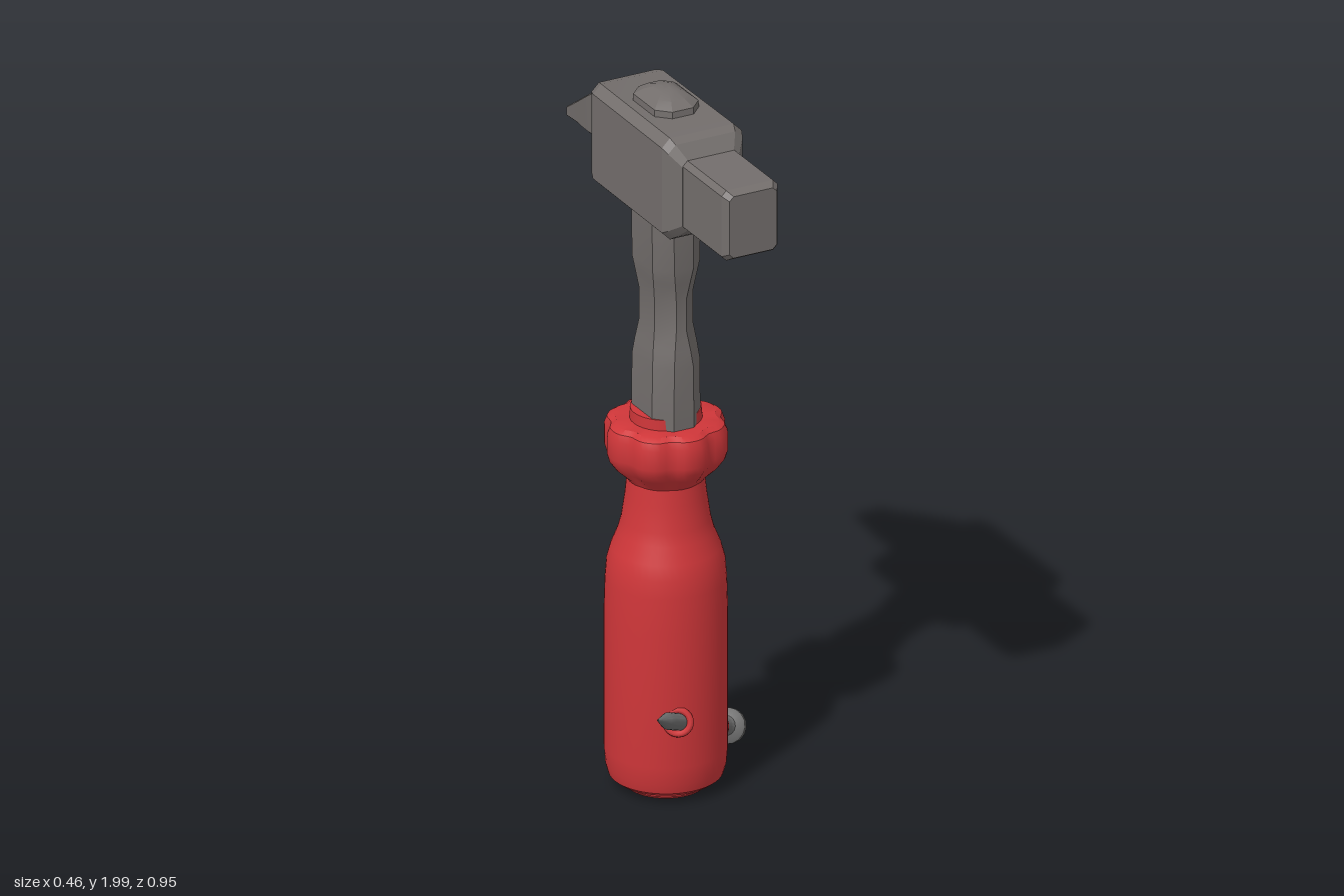
import * as THREE from 'three';
import { toCreasedNormals } from 'three/addons/utils/BufferGeometryUtils.js';

const CX = -0.053; // the tool's long axis

// Rectangle with cut corners, counterclockwise
function cutRect(hw, hh, c, cy = 0) {
  return [[hw, c - hh], [hw, hh - c], [hw - c, hh], [c - hw, hh],
    [-hw, hh - c], [-hw, c - hh], [c - hw, -hh], [hw - c, -hh]].map(([x, y]) => [x, y + cy]);
}

// Flat-faced solid through sections [position, ring] along +z, capped at both ends
function loft(sections) {
  const n = sections[0][1].length, last = (sections.length - 1) * n;
  const pos = [], idx = [];
  for (const [z, ring] of sections) for (const [x, y] of ring) pos.push(x, y, z);
  for (let i = 0; i < sections.length - 1; i++) {
    for (let j = 0; j < n; j++) {
      const a = i * n + j, b = i * n + (j + 1) % n;
      idx.push(a, b, b + n, a, b + n, a + n);
    }
  }
  for (let j = 1; j < n - 1; j++) {
    idx.push(0, j + 1, j, last, last + j, last + j + 1);
  }
  const g = new THREE.BufferGeometry();
  g.setAttribute('position', new THREE.Float32BufferAttribute(pos, 3));
  g.setIndex(idx);
  return toCreasedNormals(g, 0.3);
}

function lathe(points, segments) {
  return new THREE.LatheGeometry(points.map(([r, y]) => new THREE.Vector2(r, y)), segments);
}

export function createModel() {
  const group = new THREE.Group();
  const steel = new THREE.MeshStandardMaterial({ name: 'steel', color: 0x736e6c });
  const nailSteel = new THREE.MeshStandardMaterial({ name: 'nail steel', color: 0x707070 });
  const red = new THREE.MeshStandardMaterial({ name: 'red grip', color: 0xcf3639 });

  const add = (name, geometry, material, x = CX) => {
    const mesh = new THREE.Mesh(geometry, material);
    mesh.name = name;
    mesh.position.x = x;
    group.add(mesh);
    return mesh;
  };

  // Hammer head: main block, square striking face, wedge-shaped peen
  const HY = 1.805;
  add('headBlock', loft([
    [-0.222, cutRect(0.095, 0.122, 0.02, HY)],
    [-0.212, cutRect(0.105, 0.137, 0.022, HY)],
    [-0.185, cutRect(0.115, 0.145, 0.024, HY)],
    [0.195, cutRect(0.118, 0.145, 0.024, HY)],
    [0.215, cutRect(0.11, 0.132, 0.022, HY)],
    [0.245, cutRect(0.084, 0.1, 0.016, HY - 0.005)],
  ]), steel);
  add('strikingFace', loft([
    [0.2, cutRect(0.083, 0.1, 0.014, HY - 0.005)],
    [0.455, cutRect(0.083, 0.1, 0.014, HY - 0.005)],
    [0.475, cutRect(0.07, 0.088, 0.012, HY - 0.005)],
  ]), steel);
  add('peen', loft([[-0.475, 0.036], [-0.4, 0.046], [-0.35, 0.057], [-0.3, 0.066], [-0.2, 0.073]]
    .map(([z, hw]) => {
      const t = (z + 0.475) / 0.255;
      const top = 1.757 + 0.163 * t, bottom = 1.728 + 0.042 * t;
      return [z, cutRect(hw, (top - bottom) / 2, 0.004, (top + bottom) / 2)];
    })), steel);

  // Shaft end bulging out of the top of the head
  add('shaftCap', loft([
    [1.93, cutRect(0.067, 0.095, 0.035)],
    [1.968, cutRect(0.065, 0.092, 0.034)],
    [1.985, cutRect(0.045, 0.066, 0.025)],
    [1.995, cutRect(0.025, 0.036, 0.014)],
    [2.0, cutRect(0.008, 0.012, 0.004)],
  ]).rotateX(-Math.PI / 2), steel);

  // Eight-sided waisted shaft
  add('shaft', loft([[1.05, 0.072, 0.098], [1.23, 0.07, 0.098], [1.275, 0.065, 0.092],
    [1.33, 0.057, 0.084], [1.42, 0.057, 0.084], [1.47, 0.064, 0.092],
    [1.51, 0.07, 0.098], [1.7, 0.072, 0.098]]
    .map(([y, hw, hd]) => [y, cutRect(hw, hd, 0.042)])).rotateX(-Math.PI / 2), steel);

  // Turned grip
  const grip = lathe([[0, 0.008], [0.105, 0.008], [0.11, 0.015], [0.11, 0.03], [0.135, 0.03],
    [0.15, 0.042], [0.158, 0.07], [0.162, 0.12], [0.162, 0.5], [0.159, 0.6], [0.155, 0.65],
    [0.144, 0.69], [0.126, 0.735], [0.117, 0.77], [0.107, 0.84], [0.1, 0.91]], 48);
  add('grip', toCreasedNormals(grip, 0.6), red);

  // Lobed knob above the grip, with its collar
  const knob = lathe([[0.098, 0.88], [0.108, 0.895], [0.14, 0.925], [0.158, 0.95], [0.164, 0.97],
    [0.164, 1.025], [0.156, 1.045], [0.14, 1.055], [0.09, 1.055]], 64);
  const p = knob.attributes.position;
  for (let i = 0; i < p.count; i++) {
    const x = p.getX(i), z = p.getZ(i), r = Math.hypot(x, z);
    const lobes = 0.5 - 0.5 * Math.cos(8 * Math.atan2(z, x));
    const k = 1 - 0.085 * lobes * lobes * Math.max(0, Math.min(1, (r - 0.1) / 0.04));
    p.setX(i, x * k);
    p.setZ(i, z * k);
  }
  add('knob', toCreasedNormals(knob, 0.6), red);
  add('collar', new THREE.CylinderGeometry(0.094, 0.096, 0.05, 32).translate(0, 1.06, 0), red);

  // Nail driven slantwise through the grip: flared head, shank, point
  const headEnd = new THREE.Vector3(0.197, 0.066, -0.114);
  const tip = new THREE.Vector3(-0.227, 0.332, 0.27);
  const dir = tip.clone().sub(headEnd);
  const length = dir.length();
  dir.normalize();
  const nail = add('nail', toCreasedNormals(lathe([[0, 0], [0.045, 0], [0.048, 0.005],
    [0.048, 0.018], [0.043, 0.024], [0.027, 0.034], [0.023, 0.045], [0.023, length - 0.1],
    [0.017, length - 0.075], [0, length]], 16), 0.5), nailSteel);
  nail.position.copy(headEnd);
  nail.quaternion.setFromUnitVectors(new THREE.Vector3(0, 1, 0), dir);

  // Raised lips where the nail enters and leaves
  for (const [name, x, y, z, sign] of [['entryLip', 0.113, 0.118, -0.035, -1],
    ['exitLip', -0.102, 0.253, 0.157, 1]]) {
    const lip = add(name, new THREE.TorusGeometry(0.032, 0.009, 8, 24), red);
    lip.position.set(x, y, z);
    const normal = new THREE.Vector3(x - CX, 0, z).normalize().addScaledVector(dir, sign).normalize();
    lip.quaternion.setFromUnitVectors(new THREE.Vector3(0, 0, 1), normal);
  }
  return group;
}
